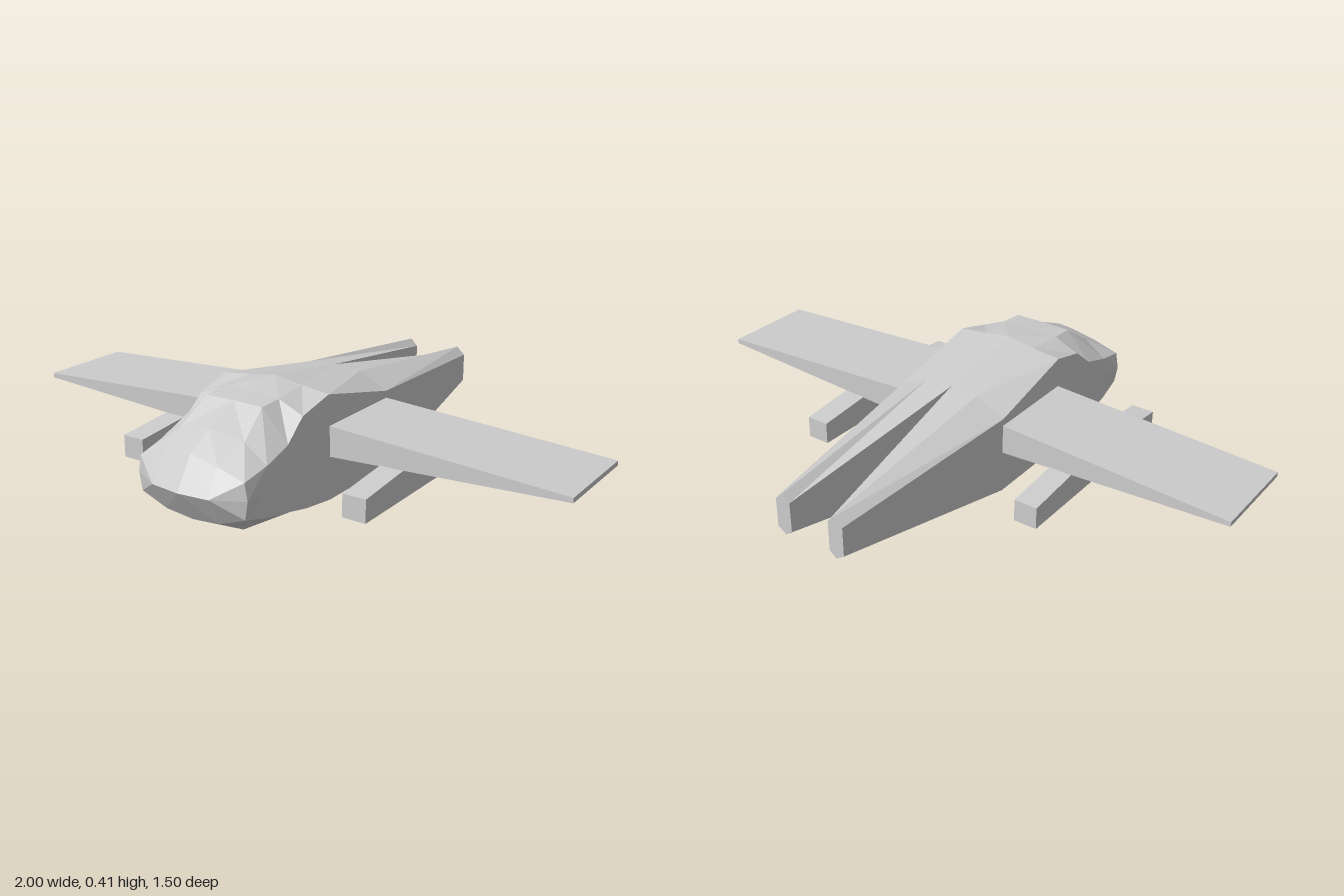
import * as THREE from 'three';

const material = new THREE.MeshStandardMaterial({ color: 0xcccccc, flatShading: true });

// Half cross-sections from nose to tail, each running from top centre over the side to bottom centre.
const at = (z, pts) => pts.map(([x, y]) => [x, y, z]);
const sections = [
  [[0, 0.18, 0.75], [0.105, 0.18, 0.738], [0.105, 0.18, 0.738], [0.105, 0.18, 0.738],
    [0.105, 0.18, 0.738], [0.105, 0.18, 0.738], [0, 0.18, 0.75]],
  at(0.685, [[0, 0.28], [0.1, 0.262], [0.195, 0.235], [0.205, 0.18], [0.195, 0.12], [0.1, 0.085], [0, 0.075]]),
  [[0, 0.332, 0.6], [0.12, 0.31, 0.585], [0.2, 0.255, 0.585], [0.205, 0.18, 0.6],
    [0.205, 0.095, 0.585], [0.12, 0.04, 0.6], [0, 0.037, 0.6]],
  [[0, 0.385, 0.48], [0.105, 0.383, 0.48], [0.198, 0.285, 0.48], [0.205, 0.18, 0.48],
    [0.204, 0.073, 0.48], [0.11, 0.035, 0.48], [0, 0.035, 0.48]],
  at(0.4, [[0, 0.393], [0.108, 0.388], [0.195, 0.35], [0.205, 0.18], [0.205, 0.055], [0.11, 0.03], [0, 0.025]]),
  at(0.27, [[0, 0.41], [0.1, 0.395], [0.2, 0.383], [0.205, 0.2], [0.205, 0.037], [0.1, 0.022], [0, 0.005]]),
  at(-0.06, [[0, 0.36], [0.1, 0.354], [0.205, 0.305], [0.205, 0.18], [0.205, 0.035], [0.1, 0.034], [0, 0.033]]),
  at(-0.75, [[0.075, 0.247], [0.1, 0.272], [0.13, 0.245], [0.13, 0.2], [0.13, 0.145], [0.1, 0.125], [0.075, 0.145]]),
];

// Skins one half of the fuselage; the last span is closed on the inside to form a tail boom.
function halfFuselage(side) {
  const positions = [];
  const tri = (a, b, c) => {
    for (const [x, y, z] of side > 0 ? [a, b, c] : [a, c, b]) positions.push(x * side, y, z);
  };
  const n = sections[0].length;
  const last = sections.length - 1;
  for (let i = 0; i < last; i++) {
    const count = i === last - 1 ? n : n - 1;
    for (let j = 0; j < count; j++) {
      const k = (j + 1) % n;
      const a = sections[i][j], b = sections[i][k];
      const c = sections[i + 1][j], d = sections[i + 1][k];
      if (i > 0 || j === 0 || j === n - 2) tri(a, b, c);
      tri(b, d, c);
    }
  }
  for (let j = 1; j < n - 1; j++) tri(sections[last][0], sections[last][j], sections[last][j + 1]);
  const g = new THREE.BufferGeometry();
  g.setAttribute('position', new THREE.Float32BufferAttribute(positions, 3));
  g.computeVertexNormals();
  return g;
}

// Prism from a closed outline, starting at depth 0.
function prism(outline, depth) {
  const shape = new THREE.Shape(outline.map(([x, y]) => new THREE.Vector2(x, y)));
  return new THREE.ExtrudeGeometry(shape, { depth, bevelEnabled: false });
}

export function createModel() {
  const group = new THREE.Group();
  const add = (name, geometry) => {
    const mesh = new THREE.Mesh(geometry, material);
    mesh.name = name;
    group.add(mesh);
  };

  for (const [label, s] of [['left', 1], ['right', -1]]) {
    add(label + 'Fuselage', halfFuselage(s));

    // Straight wing that thins toward the tip
    const wing = prism([[0.19 * s, 0.18], [s, 0.222], [s, 0.238], [0.19 * s, 0.282]], 0.33);
    add(label + 'Wing', wing.translate(0, 0, -0.06));

    // Underwing pod with a sloped top that meets the wing
    const pod = prism([[-0.475, 0.1], [0.255, 0.1], [0.255, 0.175], [0.06, 0.193],
      [-0.27, 0.193], [-0.475, 0.175]], 0.08);
    pod.rotateY(Math.PI / 2).translate(s * 0.425 - 0.04, 0, 0);
    add(label + 'Pod', pod);
  }
  return group;
}
